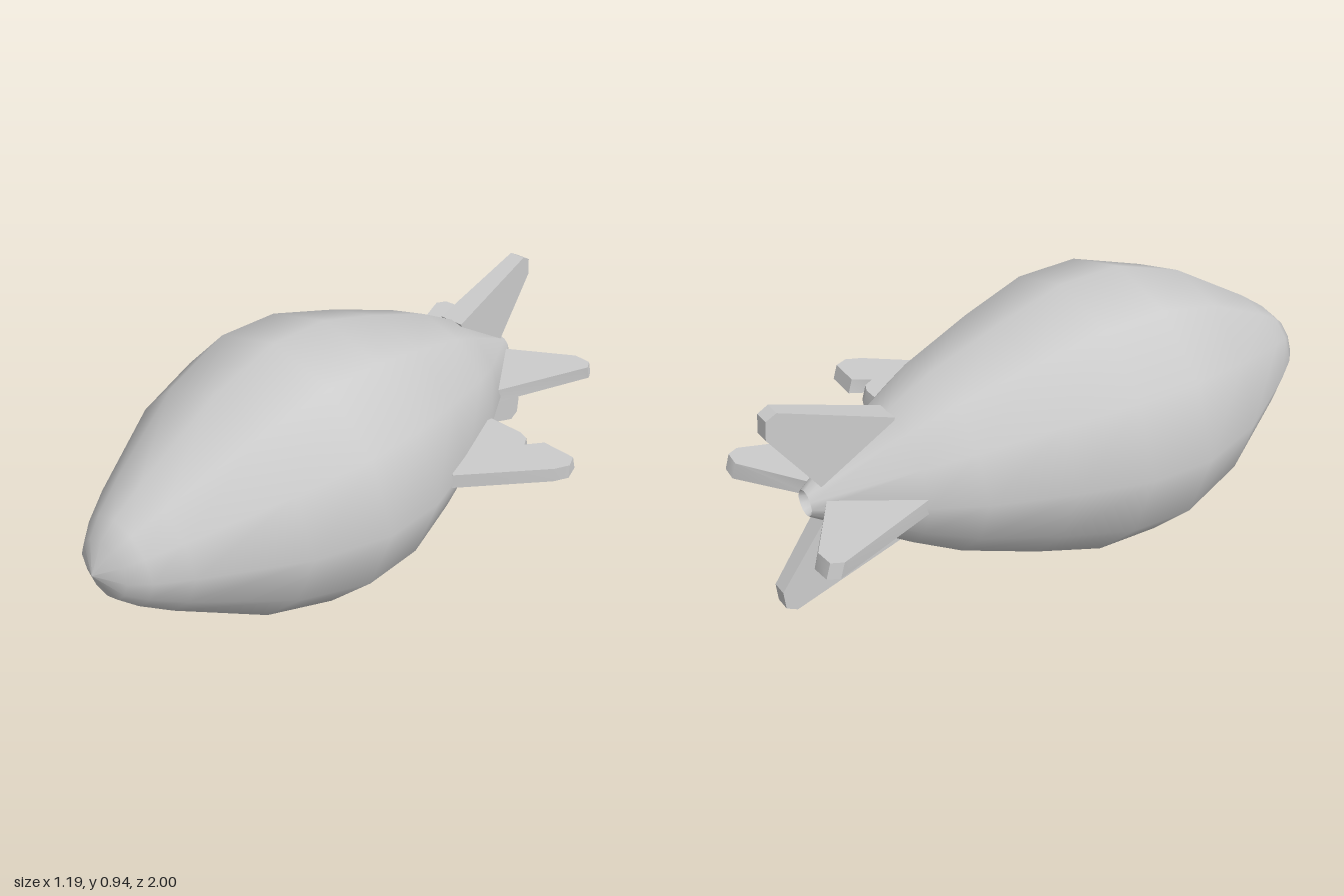
import * as THREE from 'three';
import { toCreasedNormals } from 'three/addons/utils/BufferGeometryUtils.js';

const material = new THREE.MeshStandardMaterial({ color: 0xcccccc, side: THREE.DoubleSide });

// Twelve-sided surface of revolution along z; the two flank edges are pulled outward.
function hullGeometry(profile) {
  const geo = new THREE.LatheGeometry(profile.map(([z, r]) => new THREE.Vector2(r, z)), 12);
  geo.rotateX(Math.PI / 2);
  const p = geo.attributes.position;
  for (let i = 0; i < p.count; i++) {
    const flank = Math.abs(p.getY(i)) < 1e-4;
    p.setX(i, p.getX(i) * (flank ? 1.066 : 1.013));
  }
  return geo;
}

// Flat plate in the xz plane from [outward, backward] points; shaped by rule(v, w).
function finGeometry(points, side, rule) {
  const shape = new THREE.Shape(points.map(([u, v]) => new THREE.Vector2(u * side, v)));
  const geo = new THREE.ExtrudeGeometry(shape, { depth: 1, bevelEnabled: false });
  const p = geo.attributes.position;
  for (let i = 0; i < p.count; i++) {
    const [v, w] = rule(p.getY(i), p.getZ(i));
    p.setY(i, v);
    p.setZ(i, w);
  }
  geo.rotateX(-Math.PI / 2);
  return toCreasedNormals(geo, 0.7);
}

export function createModel() {
  const model = new THREE.Group();
  model.name = 'airship';
  model.position.set(0, 0, 0);
  const ship = new THREE.Group();
  ship.name = 'ship';
  ship.position.set(-0.092, 0.473, 0);
  model.add(ship);

  const add = (name, geo) => {
    const mesh = new THREE.Mesh(geo, material);
    mesh.name = name;
    ship.add(mesh);
    return mesh;
  };

  // Hull, from tail to nose
  add('hull', hullGeometry([
    [-0.89, 0.042], [-0.6, 0.222], [-0.45, 0.302], [-0.2, 0.394], [0.03, 0.464],
    [0.25, 0.471], [0.5, 0.392], [0.8, 0.218], [0.9, 0.15], [0.955, 0.1], [1, 0],
  ]));

  // Hollow at the tail end
  add('tailHollow', hullGeometry([[-0.83, 0], [-0.85, 0.03], [-0.89, 0.042]]));

  // Horizontal plates: constant thickness, rear edge sloping on top
  const level = (edge) => (v, w) => [v > edge && w > 0.5 ? v - 0.015 : v, w > 0.5 ? 0.027 : -0.022];
  // Vertical plates: thickness tapers toward the rear
  const tapered = (v, w) => {
    const half = THREE.MathUtils.mapLinear(v, 0.6, 1, 0.045, 0.027);
    return [v, w > 0.5 ? half : -half];
  };

  // Four tail fins
  const tail = [[0.218, 0.6], [0.338, 0.94], [0.345, 0.96], [0.327, 0.995], [0.267, 1], [0.047, 0.84], [0.03, 0.66]];
  const wide = tail.map(([u, v]) => [u * 1.04, v]);
  for (const side of [1, -1]) {
    add(side > 0 ? 'leftTailFin' : 'rightTailFin', finGeometry(wide, side, level(0.93)));
    const fin = add(side > 0 ? 'topTailFin' : 'bottomTailFin', finGeometry(tail, side, tapered));
    fin.rotation.z = Math.PI / 2;
  }

  // Notched fin on the left flank
  const notched = [
    [0.45, 0.09], [0.662, 0.345], [0.685, 0.395], [0.665, 0.455], [0.545, 0.46],
    [0.505, 0.39], [0.485, 0.44], [0.45, 0.455], [0.325, 0.455], [0.3, 0.2],
  ];
  add('leftSideFin', finGeometry(notched, 1, level(0.43)));

  return model;
}
